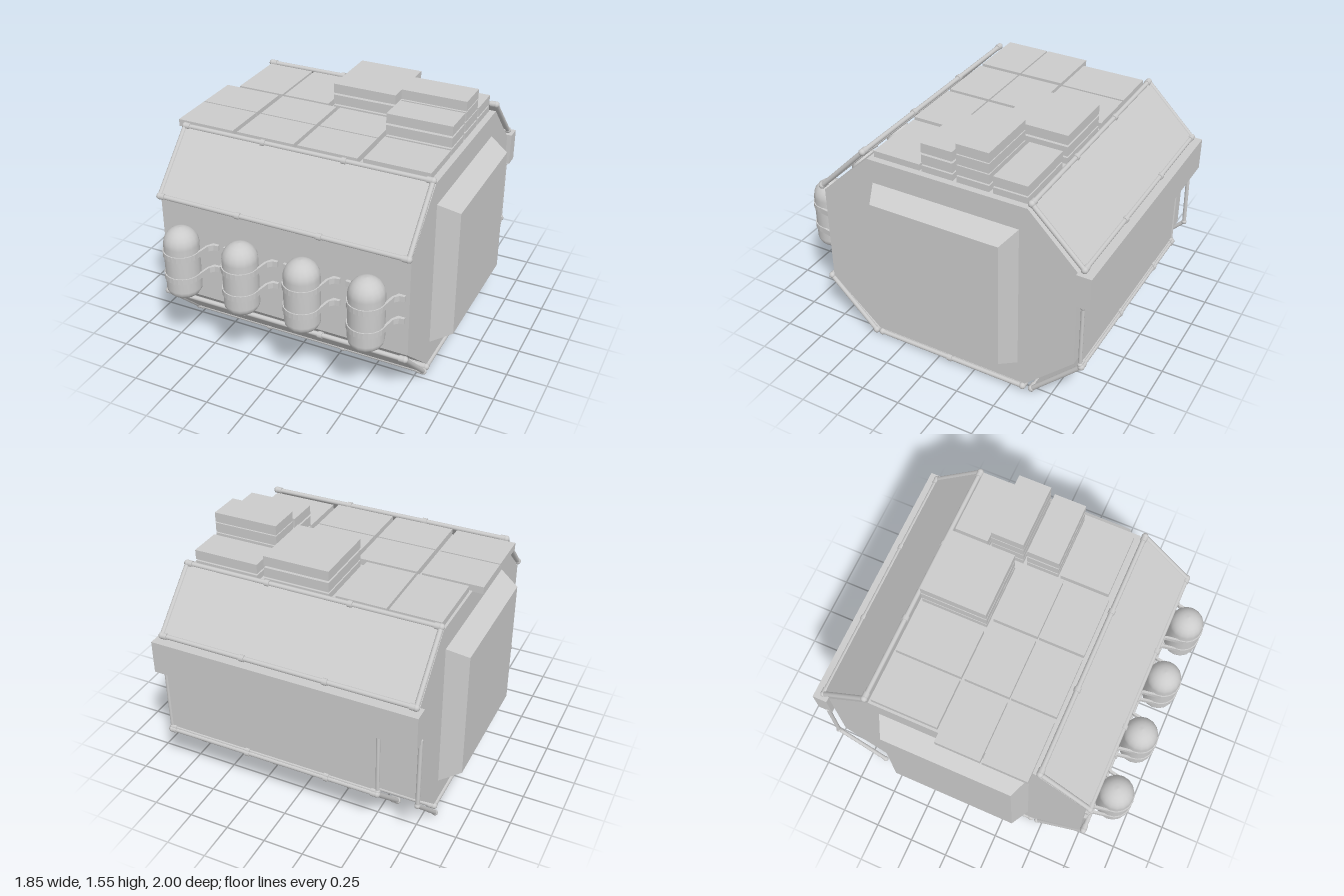
import * as THREE from 'three';

const smooth = new THREE.MeshStandardMaterial({ color: 0xcccccc });
const flat = new THREE.MeshStandardMaterial({ color: 0xcccccc, flatShading: true });

function add(parent, name, geometry, material = flat) {
  const mesh = new THREE.Mesh(geometry, material);
  mesh.name = name;
  parent.add(mesh);
  return mesh;
}

// Box given by its minimum and maximum on each axis
function block(parent, name, x0, x1, y0, y1, z0, z1) {
  const mesh = add(parent, name, new THREE.BoxGeometry(x1 - x0, y1 - y0, z1 - z0));
  mesh.position.set((x0 + x1) / 2, (y0 + y1) / 2, (z0 + z1) / 2);
}

// Round bar between two points
function rod(parent, name, a, b, r) {
  const dir = b.clone().sub(a);
  const mesh = add(parent, name, new THREE.CylinderGeometry(r, r, dir.length(), 10), smooth);
  mesh.position.copy(a).add(b).multiplyScalar(0.5);
  mesh.quaternion.setFromUnitVectors(new THREE.Vector3(0, 1, 0), dir.normalize());
}

const at = (x, [z, y]) => new THREE.Vector3(x, y, z);

// Pair of small clips along a rail
function clips(parent, end, r) {
  for (const x of [-0.26, 0.26]) rod(parent, 'railClip', at(x - 0.014, end), at(x + 0.014, end), r);
}

// Thin sheet held in a rectangle of rails; p and q are the [z, y] of its two long edges
function framedPanel(parent, name, p, q, { x0 = -0.793, x1 = 0.793, r = 0.015 } = {}) {
  const frame = new THREE.Group();
  frame.name = name;
  parent.add(frame);
  const dz = q[0] - p[0], dy = q[1] - p[1];
  const sheet = add(frame, 'sheet', new THREE.BoxGeometry(x1 - x0, Math.hypot(dz, dy), 0.01));
  sheet.position.set((x0 + x1) / 2, (p[1] + q[1]) / 2, (p[0] + q[0]) / 2);
  sheet.rotation.x = Math.atan2(dz, dy);
  for (const end of [p, q]) {
    rod(frame, 'longRail', at(x0, end), at(x1, end), r);
    clips(frame, end, r + 0.006);
    for (const [x, inward] of [[x0, 0.035], [x1, -0.035]]) {
      add(frame, 'cornerJoint', new THREE.SphereGeometry(r + 0.006, 10, 8), smooth).position.copy(at(x, end));
      rod(frame, 'jointCollar', at(x + inward, end), at(x, end), r + 0.005);
    }
  }
  for (const x of [x0, x1]) rod(frame, 'sideRail', at(x, p), at(x, q), r);
  return frame;
}

// Bracket that hugs a canister and ends in two mounting tabs
function strapGeometry() {
  const outer = [[-0.18, 0.775], [-0.15, 0.778], [-0.128, 0.8]];
  const inner = [[-0.18, 0.752], [-0.138, 0.755], [-0.112, 0.8]];
  for (let i = 0; i <= 12; i++) {
    const t = Math.PI * (1 - i / 12);
    outer.push([0.113 * Math.cos(t), 0.885 + 0.113 * Math.sin(t)]);
    inner.push([0.1 * Math.cos(t), 0.885 + 0.1 * Math.sin(t)]);
  }
  outer.push([0.128, 0.8], [0.15, 0.778], [0.18, 0.775]);
  inner.push([0.112, 0.8], [0.138, 0.755], [0.18, 0.752]);
  const outline = outer.concat(inner.reverse()).map(([x, z]) => new THREE.Vector2(x, z));
  const g = new THREE.ExtrudeGeometry(new THREE.Shape(outline), { depth: 0.036, bevelEnabled: false });
  return g.translate(0, 0, -0.018).rotateX(Math.PI / 2);
}

// Upright tank with a shallow base and a round dome
function canisterGeometry() {
  const r = 0.107, points = [];
  for (let i = 0; i <= 6; i++) {
    const t = (i / 6) * Math.PI / 2;
    points.push(new THREE.Vector2(r * Math.sin(t), 0.515 - 0.073 * Math.cos(t)));
  }
  for (let i = 0; i <= 6; i++) {
    const t = (i / 6) * Math.PI / 2;
    points.push(new THREE.Vector2(r * Math.cos(t), 0.808 + 0.105 * Math.sin(t)));
  }
  return new THREE.LatheGeometry(points, 16);
}

export function createModel() {
  const model = new THREE.Group();
  model.name = 'octagonalModule';

  // Eight-sided hull
  const profile = [[0.43, 0.065], [0.757, 0.36], [0.757, 1.0], [0.43, 1.31],
    [-0.6, 1.31], [-0.908, 1.0], [-0.908, 0.36], [-0.6, 0.065]];
  const shape = new THREE.Shape(profile.map(([z, y]) => new THREE.Vector2(z, y)));
  const hull = new THREE.ExtrudeGeometry(shape, { depth: 1.6, bevelEnabled: false });
  add(model, 'hull', hull.translate(0, 0, -0.8).rotateY(-Math.PI / 2));

  // Raised bevelled plates on both ends
  for (const s of [-1, 1]) {
    const g = new THREE.CylinderGeometry(0.83 / Math.SQRT2, 0.95 / Math.SQRT2, 0.125, 4);
    g.rotateY(Math.PI / 4).rotateZ(-s * Math.PI / 2);
    add(model, s > 0 ? 'leftSidePlate' : 'rightSidePlate', g).position.set(s * 0.862, 0.685, -0.075);
  }

  // Framed sheets over the slopes, back and underside
  framedPanel(model, 'upperFrontPanel', [0.462, 1.34], [0.78, 1.018]);
  framedPanel(model, 'lowerFrontPanel', [0.78, 0.345], [0.465, 0.03]);
  framedPanel(model, 'upperBackPanel', [-0.62, 1.345], [-0.94, 1.03]);
  framedPanel(model, 'lowerBackPanel', [-0.95, 0.35], [-0.64, 0.04], { x0: -0.58 });
  framedPanel(model, 'backPanel', [-0.943, 0.78], [-0.943, 0.365], { x0: -0.58, r: 0.012 });
  const bottom = framedPanel(model, 'bottomPanel', [0.42, 0.033], [-0.58, 0.033]);

  // Cross seam under the bottom sheet, with clips
  const seam = [-0.08, 0.03];
  rod(bottom, 'crossSeam', at(-0.793, seam), at(0.793, seam), 0.008);
  clips(bottom, seam, 0.018);
  for (const x of [-0.793, 0.793]) rod(bottom, 'railClip', at(x, [-0.066, 0.033]), at(x, [-0.094, 0.033]), 0.021);

  // Bent pipe standing off one end of the back
  const bends = [[-0.935, 0.82], [-0.945, 0.355], [-0.645, 0.045]].map((p) => at(-0.825, p));
  rod(model, 'backPipe', bends[0], bends[1], 0.013);
  rod(model, 'lowerPipe', bends[1], bends[2], 0.013);
  for (const p of bends.slice(1)) add(model, 'pipeJoint', new THREE.SphereGeometry(0.018, 10, 8), smooth).position.copy(p);

  // Beam across the back
  block(model, 'backBeam', -0.83, 0.83, 0.8, 1.01, -1.0, -0.908);

  // Roof tiles: x0, x1, z0, z1, number of extra slabs stacked on top
  const tiles = [
    [-0.785, -0.475, -0.585, -0.17, 0], [-0.46, -0.15, -0.585, -0.17, 0], [-0.11, 0.3, -0.585, -0.17, 2],
    [-0.865, -0.49, -0.15, 0.13, 0], [-0.46, -0.085, -0.15, 0.13, 0], [-0.06, 0.32, -0.15, 0.13, 0],
    [-0.865, -0.49, 0.14, 0.42, 0], [-0.46, -0.085, 0.14, 0.42, 0], [-0.06, 0.32, 0.14, 0.42, 0],
    [0.35, 0.76, -0.58, -0.37, 1], [0.35, 0.76, -0.345, -0.14, 3],
    [0.35, 0.76, -0.115, 0.085, 2], [0.35, 0.76, 0.1, 0.405, 0],
  ];
  for (const [x0, x1, z0, z1, extra] of tiles) {
    block(model, 'roofTile', x0, x1, 1.305, 1.35, z0, z1);
    const pitch = extra === 2 ? 0.073 : 0.067;
    for (let i = 0; i < extra; i++) {
      const y = 1.36 + i * pitch;
      block(model, 'stackedSlab', x0, x1, y, y + 0.06, z0, z1);
    }
  }

  // Canisters strapped to the front
  const strap = strapGeometry();
  const canister = canisterGeometry();
  for (const x of [-0.593, -0.197, 0.2, 0.597]) {
    add(model, 'canister', canister, smooth).position.set(x, 0, 0.885);
    for (const y of [0.6, 0.75]) add(model, 'canisterStrap', strap).position.set(x, y, 0);
  }

  return model;
}
